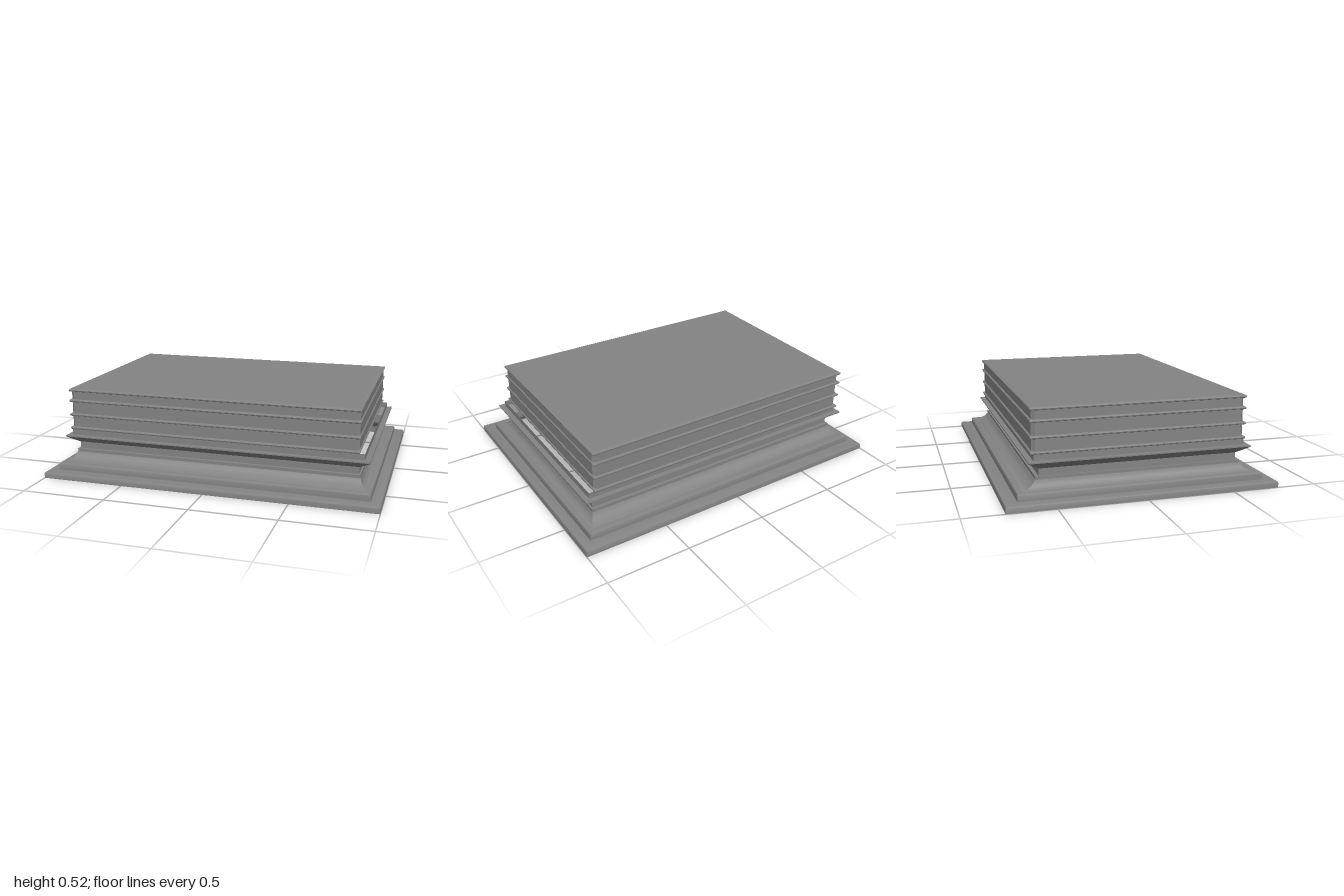
import * as THREE from 'three';
import { toCreasedNormals } from 'three/addons/utils/BufferGeometryUtils.js';

const material = new THREE.MeshStandardMaterial({ color: 0x848484, side: THREE.DoubleSide });

// Rectangular moulding: each row is [half width, half depth, height].
// chamfer cuts the four corners; cap closes the top and bottom.
function moulding(name, rows, chamfer = 0, cap = false) {
  const ring = ([x, z, y]) => {
    const c = chamfer;
    const pts = c
      ? [[x - c, z], [x, z - c], [x, -z + c], [x - c, -z], [-x + c, -z], [-x, -z + c], [-x, z - c], [-x + c, z]]
      : [[x, z], [x, -z], [-x, -z], [-x, z]];
    return pts.map(([px, pz]) => [px, y, pz]);
  };
  const rings = rows.map(ring);
  const n = rings[0].length;
  const pos = [];
  const tri = (a, b, c) => pos.push(...a, ...b, ...c);
  for (let i = 0; i < rings.length - 1; i++) {
    for (let j = 0; j < n; j++) {
      const k = (j + 1) % n;
      const a = rings[i][j], b = rings[i][k], c = rings[i + 1][k], d = rings[i + 1][j];
      tri(a, b, c);
      tri(a, c, d);
    }
  }
  if (cap) {
    const bottom = rings[0], top = rings[rings.length - 1];
    for (let j = 1; j < n - 1; j++) {
      tri(top[0], top[j], top[j + 1]);
      tri(bottom[0], bottom[j + 1], bottom[j]);
    }
  }
  const geo = new THREE.BufferGeometry();
  geo.setAttribute('position', new THREE.Float32BufferAttribute(pos, 3));
  const mesh = new THREE.Mesh(toCreasedNormals(geo, 0.6), material);
  mesh.name = name;
  return mesh;
}

export function createModel() {
  const group = new THREE.Group();
  group.name = 'plinth';

  // Stepped foot with softened edges, open underneath
  group.add(moulding('foot', [
    [1, 0.772, 0], [1, 0.772, 0.028], [0.997, 0.769, 0.034], [0.991, 0.763, 0.037],
    [0.94, 0.7, 0.037], [0.94, 0.7, 0.068], [0.937, 0.697, 0.075], [0.931, 0.69, 0.078],
    [0.908, 0.662, 0.078],
  ]));

  // Shallow concave sweep up to the waist
  const cove = [];
  for (let i = 0; i <= 5; i++) {
    const u = i / 5;
    const bow = 0.18 * Math.sin(u * Math.PI);
    cove.push([0.908 - 0.04 * (u + bow), 0.662 - 0.068 * (u + bow), 0.078 + 0.047 * (u - bow * 0.5)]);
  }
  group.add(moulding('cove', cove));

  // Narrow waist with a small fillet below it
  group.add(moulding('waist', [
    [0.868, 0.594, 0.125], [0.866, 0.59, 0.125], [0.866, 0.59, 0.143],
    [0.857, 0.57, 0.143], [0.857, 0.57, 0.183],
  ]));

  // Flared cornice and the open collar above it
  group.add(moulding('cornice', [
    [0.857, 0.57, 0.183], [0.919, 0.634, 0.227], [0.919, 0.634, 0.234],
    [0.887, 0.602, 0.234], [0.887, 0.602, 0.27],
  ]));

  // Upper block, set slightly off centre
  const block = new THREE.Group();
  block.name = 'upperBlock';
  block.position.set(-0.018, 0, -0.006);
  block.add(moulding('blockWall', [[0.872, 0.604, 0.268], [0.872, 0.604, 0.515]], 0.018, true));

  // Rounded bands around the block
  for (const y of [0.277, 0.36, 0.447, 0.512]) {
    const rows = [[0.86, 0.592, y - 0.009]];
    for (let i = 0; i <= 4; i++) {
      const a = -Math.PI / 2 + (i / 4) * Math.PI;
      const out = 0.008 * Math.cos(a);
      rows.push([0.871 + out, 0.606 + out, y + 0.009 * Math.sin(a)]);
    }
    rows.push([0.86, 0.592, y + 0.009]);
    block.add(moulding('band', rows, 0, true));
  }
  group.add(block);
  return group;
}
